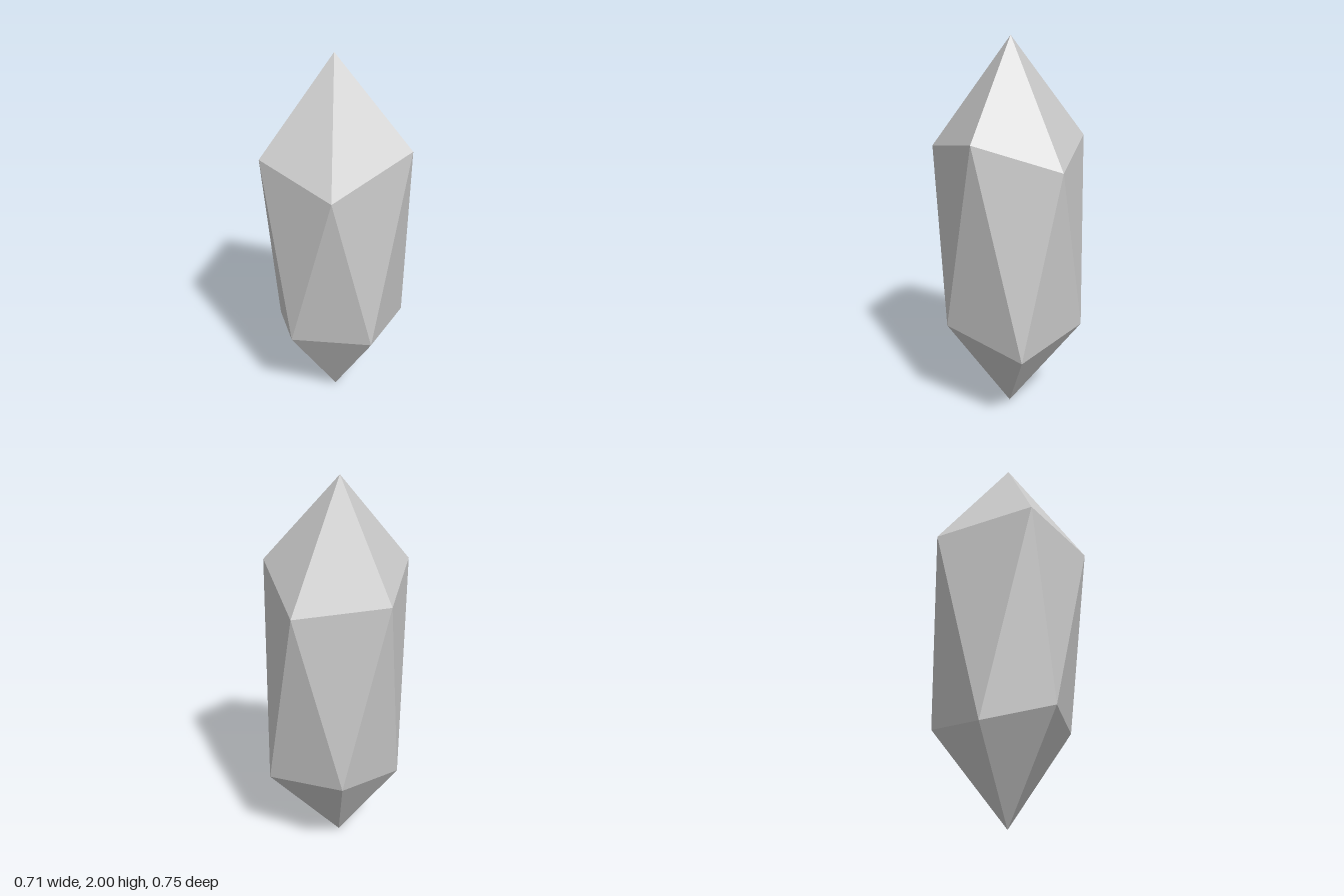
import * as THREE from 'three';

// Low-poly crystal: two points joined by two staggered five-sided rings
export function createModel() {
  const tip = [-0.037, 2, -0.015];
  const base = [-0.037, 0, -0.015];
  const upper = [
    [0.353, 1.55, -0.015], [0.073, 1.43, 0.375], [-0.327, 1.53, 0.245],
    [-0.355, 1.47, -0.27], [0.101, 1.40, -0.375],
  ];
  // Each lower corner sits between two upper ones
  const lower = [
    [0.23, 0.52, 0.212], [-0.174, 0.525, 0.298], [-0.355, 0.435, -0.015],
    [-0.151, 0.505, -0.377], [0.273, 0.435, -0.25],
  ];

  const positions = [];
  const face = (...corners) => positions.push(...corners.flat());
  for (let i = 0; i < 5; i++) {
    const j = (i + 1) % 5;
    face(tip, upper[j], upper[i]); // top point
    face(upper[i], upper[j], lower[i]); // sides
    face(lower[i], upper[j], lower[j]);
    face(base, lower[i], lower[j]); // bottom point
  }

  const geometry = new THREE.BufferGeometry();
  geometry.setAttribute('position', new THREE.Float32BufferAttribute(positions, 3));
  geometry.computeVertexNormals();

  const crystal = new THREE.Mesh(
    geometry,
    new THREE.MeshStandardMaterial({ color: 0xcccccc, flatShading: true })
  );
  crystal.name = 'crystal';

  const group = new THREE.Group();
  group.name = 'crystalModel';
  group.add(crystal);
  return group;
}
